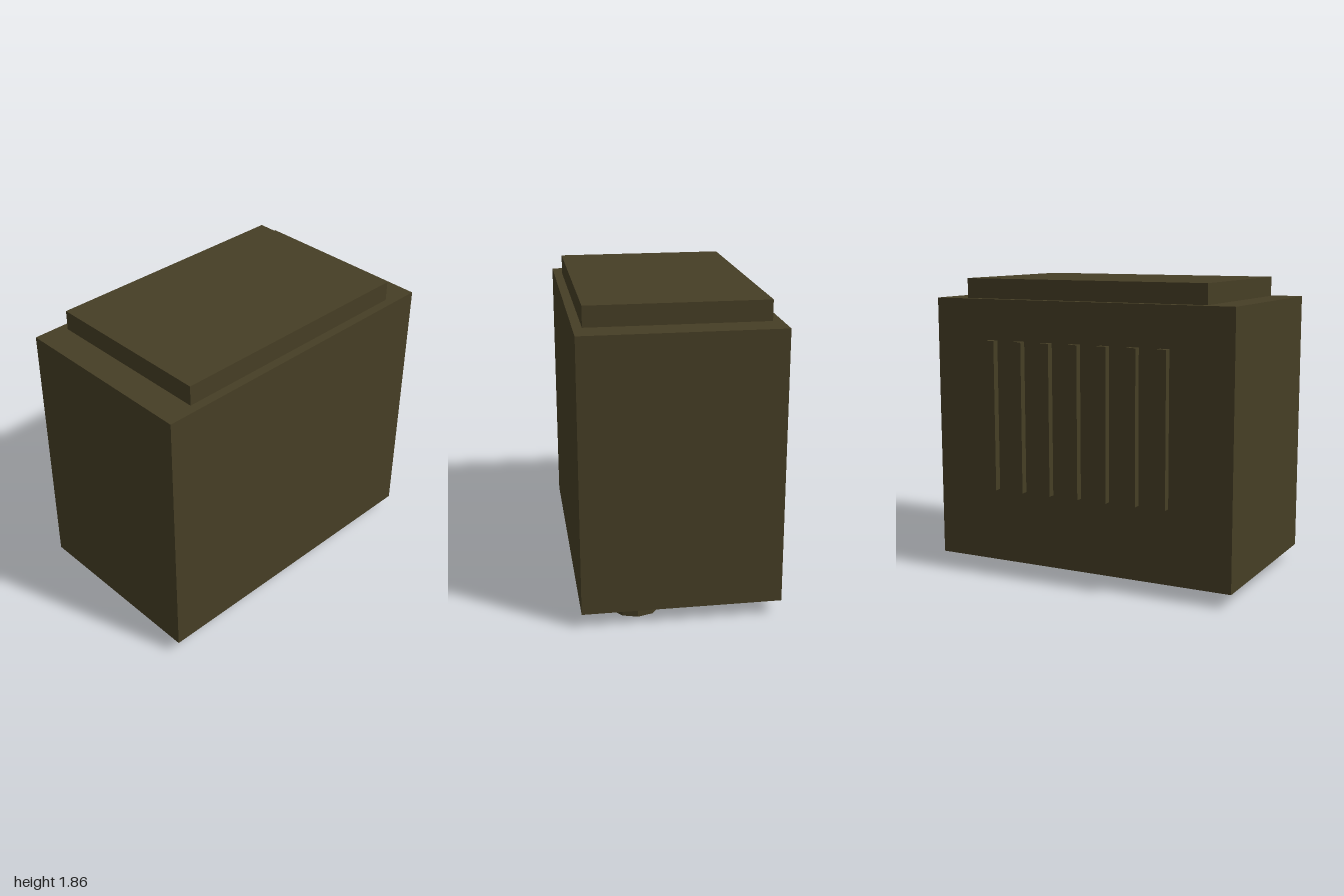
import * as THREE from 'three';

export function createModel() {
  const model = new THREE.Group();
  const olive = new THREE.MeshStandardMaterial({ color: 0x463e25 });
  olive.name = 'dark olive';

  const add = (name, geometry, x, y, z, parent = model) => {
    const mesh = new THREE.Mesh(geometry, olive);
    mesh.name = name;
    mesh.position.set(x, y, z);
    parent.add(mesh);
    return mesh;
  };
  // Box given by its lower and upper limits on each axis
  const addBox = (name, [x0, x1], [y0, y1], [z0, z1], parent) =>
    add(name, new THREE.BoxGeometry(x1 - x0, y1 - y0, z1 - z0),
      (x0 + x1) / 2, (y0 + y1) / 2, (z0 + z1) / 2, parent);

  // Main case and raised lid
  addBox('body', [-1, 1], [0.088, 1.74], [-0.56, 0.625]);
  addBox('lid', [-0.81, 0.81], [1.74, 1.863], [-0.505, 0.57]);

  // Row of upright bars standing just off the back
  const grille = new THREE.Group();
  grille.name = 'backGrille';
  model.add(grille);
  for (let i = -3; i <= 3; i++) {
    const x = i * 0.193;
    addBox('grilleBar', [x - 0.03, x + 0.03], [0.555, 1.49], [-0.625, -0.58], grille);
  }

  // Ten-sided plug under the left front corner, faceted
  const plug = new THREE.CylinderGeometry(0.152, 0.152, 0.088, 10, 1, false, Math.PI / 2).toNonIndexed();
  plug.computeVertexNormals();
  add('bottomPlug', plug, 0.757, 0.044, 0.285);

  return model;
}
